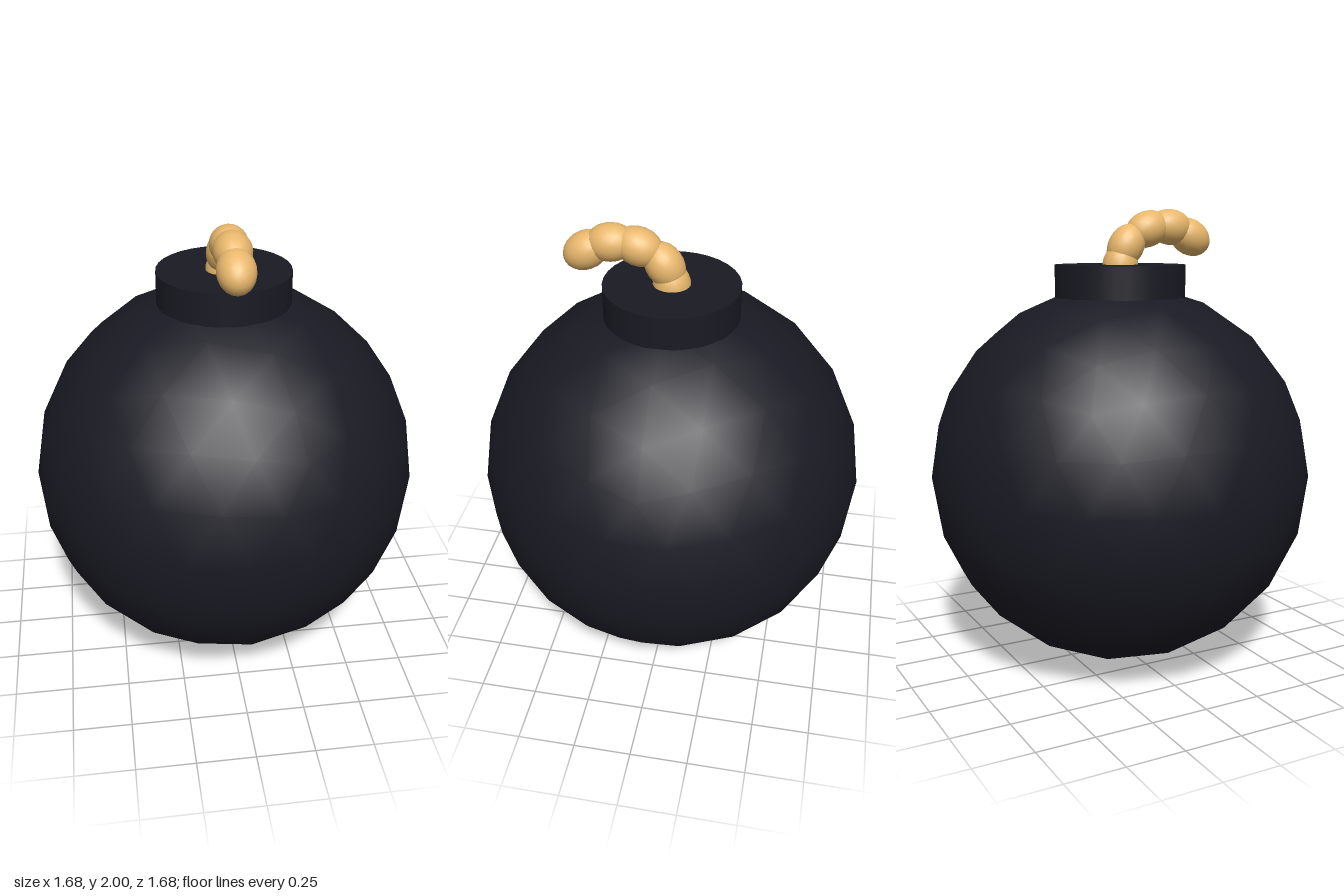
import * as THREE from 'three';

const BODY_RADIUS = 0.84;

export function createModel() {
  const model = new THREE.Group();
  model.name = 'bomb';
  const dark = new THREE.MeshStandardMaterial({ color: 0x1a1a24 });
  const rope = new THREE.MeshStandardMaterial({ color: 0xe8b76c });

  function add(name, geometry, material, parent = model) {
    const mesh = new THREE.Mesh(geometry, material);
    mesh.name = name;
    parent.add(mesh);
    return mesh;
  }

  // Round body: smooth icosphere turned so that one corner is at the top
  const bodyGeometry = new THREE.IcosahedronGeometry(BODY_RADIUS, 3);
  bodyGeometry.rotateZ(-Math.atan(2 / (1 + Math.sqrt(5))));
  add('body', bodyGeometry, dark).position.y = BODY_RADIUS;

  // Short neck sunk slightly into the body
  add('neck', new THREE.CylinderGeometry(0.285, 0.285, 0.16, 32), dark).position.y = 1.68;

  // Fuse: overlapping long beads curling forward; each is [z, y, tilt toward the front]
  const fuse = new THREE.Group();
  fuse.name = 'fuse';
  model.add(fuse);
  const bead = new THREE.IcosahedronGeometry(1, 3);
  const beads = [
    [0, 1.75, 0.1],
    [0.03, 1.84, 0.58],
    [0.135, 1.912, 1.25],
    [0.25, 1.921, 1.68],
    [0.352, 1.878, 2.1],
  ];
  beads.forEach(([z, y, tilt], i) => {
    const mesh = add(`fuseBead${i + 1}`, bead, rope, fuse);
    mesh.position.set(0, y, z);
    mesh.rotation.x = tilt;
    mesh.scale.set(0.079, 0.102, 0.079);
  });

  return model;
}
